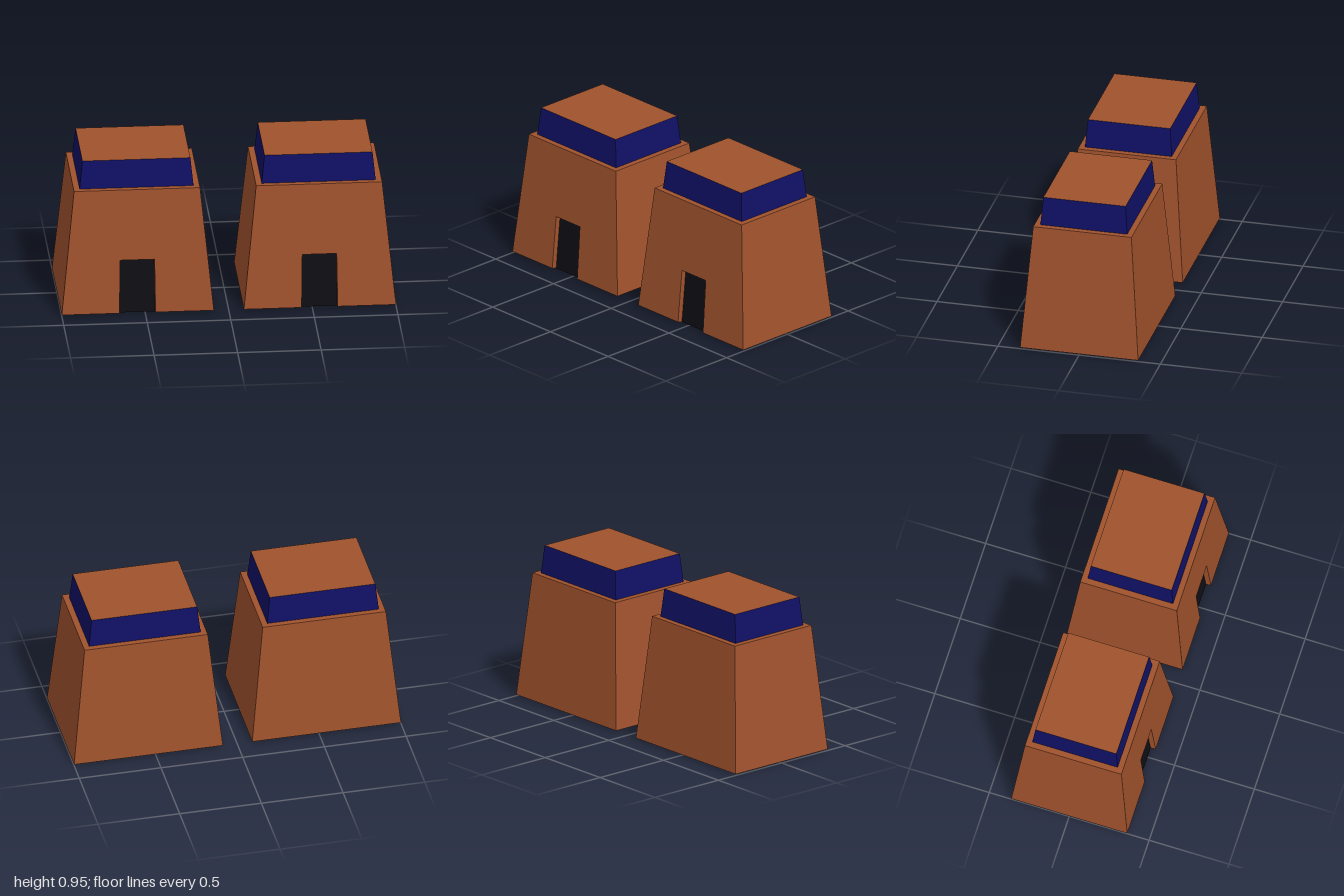
import * as THREE from 'three';

const clay = new THREE.MeshStandardMaterial({ color: 0xa0522d, flatShading: true, side: THREE.DoubleSide });
const navy = new THREE.MeshStandardMaterial({ color: 0x101066, flatShading: true, side: THREE.DoubleSide });
const dark = new THREE.MeshStandardMaterial({ color: 0x0f0f14, flatShading: true, side: THREE.DoubleSide });

// Levels as half width, height, half depth
const BASE = [0.455, 0.008, 0.363];
const LEDGE = [0.377, 0.78, 0.302];
const CROWN = [0.341, 0.78, 0.267];
const ROOF = [0.323, 0.955, 0.253];
const RECESS = { y: -0.008, z: -0.032 };

// Four corners of a level, counter-clockwise from above, starting front left
const corners = ([w, y, d]) => [[-w, y, d], [w, y, d], [w, y, -d], [-w, y, -d]];

// Mesh made of quads, each given as four corners counter-clockwise from outside
function quads(name, material, list) {
  const pos = list.flatMap(([a, b, c, d]) => [a, b, c, a, c, d].flat());
  const geo = new THREE.BufferGeometry();
  geo.setAttribute('position', new THREE.Float32BufferAttribute(pos, 3));
  geo.computeVertexNormals();
  const mesh = new THREE.Mesh(geo, material);
  mesh.name = name;
  return mesh;
}

// Quads joining two levels, for the sides asked for (0 front, 1 right, 2 back, 3 left)
function band(lower, upper, sides = [0, 1, 2, 3]) {
  const a = corners(lower), b = corners(upper);
  return sides.map((i) => [a[i], a[(i + 1) % 4], b[(i + 1) % 4], b[i]]);
}

// Depth of the leaning front wall at height y
const wallZ = (y) => THREE.MathUtils.mapLinear(y, BASE[1], LEDGE[1], BASE[2], LEDGE[2]);

function createHouse() {
  const house = new THREE.Group();
  house.name = 'house';

  // Doorway outline, up one side and down the other
  const door = [[-0.11, BASE[1]], [-0.104, 0.34], [0.102, 0.34], [0.106, BASE[1]]];

  // Front wall with the doorway notch, leaned back
  const outline = [[-BASE[0], BASE[1]], ...door, [BASE[0], BASE[1]], [LEDGE[0], LEDGE[1]], [-LEDGE[0], LEDGE[1]]];
  const front = new THREE.ShapeGeometry(new THREE.Shape(outline.map(([x, y]) => new THREE.Vector2(x, y))));
  const p = front.attributes.position;
  for (let i = 0; i < p.count; i++) p.setZ(i, wallZ(p.getY(i)));
  front.computeVertexNormals();
  const frontWall = new THREE.Mesh(front, clay);
  frontWall.name = 'frontWall';
  house.add(frontWall);

  // Other walls, ledge, coloured parapet and flat roof
  house.add(quads('walls', clay, band(BASE, LEDGE, [1, 2, 3])));
  house.add(quads('ledge', clay, band(LEDGE, CROWN)));
  house.add(quads('parapet', navy, band(CROWN, ROOF)));
  house.add(quads('roof', clay, [corners(ROOF)]));

  // Recessed door with its jambs and lintel
  const outer = door.map(([x, y]) => [x, y, wallZ(y)]);
  const inner = outer.map(([x, y, z]) => [x, y + RECESS.y, z + RECESS.z]);
  house.add(quads('doorFrame', clay, [0, 1, 2].map((i) => [outer[i], inner[i], inner[i + 1], outer[i + 1]])));
  house.add(quads('door', dark, [[inner[0], inner[3], inner[2], inner[1]]]));
  return house;
}

export function createModel() {
  const model = new THREE.Group();
  model.name = 'twinHouses';
  for (const x of [-0.545, 0.545]) {
    const house = createHouse();
    house.position.x = x;
    model.add(house);
  }
  return model;
}
